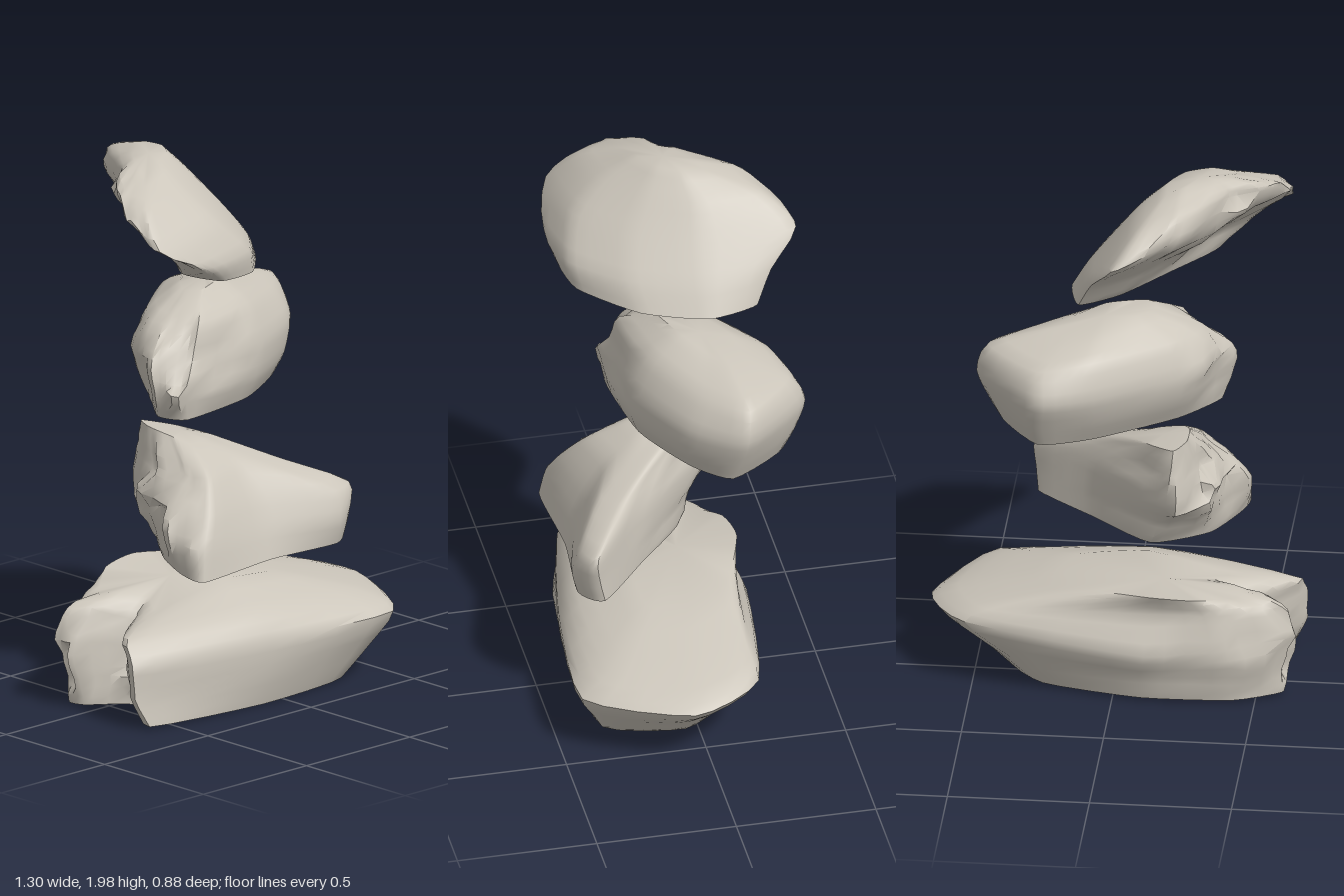
import * as THREE from 'three';
import { toCreasedNormals } from 'three/addons/utils/BufferGeometryUtils.js';

const AROUND = 40, UP = 12;
const material = new THREE.MeshStandardMaterial({ color: 0xccc6bb });

// Small repeatable noise in -1..1
const noise = (i, j) => {
  const s = Math.sin(i * 12.9898 + j * 78.233) * 43758.5453;
  return (s - Math.floor(s)) * 2 - 1;
};

// Skins a stone over a stack of loops, bottom to top. Each loop lists x, y, z
// triples running from the left side to the front, right and back.
// Points between loop positions chipFrom and chipTo are roughly broken.
function stone(name, loops, chipFrom, chipTo, chip) {
  const curves = loops.map((loop) => {
    const points = [];
    for (let i = 0; i < loop.length; i += 3) points.push(new THREE.Vector3(loop[i], loop[i + 1], loop[i + 2]));
    return new THREE.CatmullRomCurve3(points, true, 'catmullrom', 0.28);
  });
  const corners = loops[0].length / 3;
  const rows = Array.from({ length: UP + 1 }, () => []);
  for (let j = 0; j < AROUND; j++) {
    const rib = new THREE.CatmullRomCurve3(curves.map((c) => c.getPoint(j / AROUND)), false, 'catmullrom', 0.35);
    for (let i = 0; i <= UP; i++) rows[i].push(rib.getPoint(i / UP));
  }
  const centres = rows.map((row) => row.reduce((sum, p) => sum.add(p), new THREE.Vector3()).divideScalar(AROUND));

  // Broken side: push points in and out, less near the base and crown
  rows.forEach((row, i) => row.forEach((p, j) => {
    const t = ((j / AROUND) * corners - chipFrom) / (chipTo - chipFrom);
    if (t <= 0 || t >= 1) return;
    const weight = Math.sin(Math.PI * t) * Math.sin((Math.PI * i) / UP);
    const out = p.clone().sub(centres[i]).setY(0).normalize();
    p.addScaledVector(out, chip * weight * noise(i >> 1, j >> 1));
    p.y += chip * 0.4 * weight * noise(i + 7, j >> 1);
  }));

  const positions = [];
  rows.flat().forEach((p) => positions.push(p.x, p.y, p.z));
  const index = [];
  for (let i = 0; i < UP; i++) {
    for (let j = 0; j < AROUND; j++) {
      const k = (j + 1) % AROUND;
      const a = i * AROUND + j, b = i * AROUND + k;
      index.push(a, a + AROUND, b, b, a + AROUND, b + AROUND);
    }
  }
  // Nearly flat base and gently domed crown
  const base = positions.length / 3, crown = base + 1, last = UP * AROUND;
  positions.push(centres[0].x, centres[0].y - 0.01, centres[0].z);
  positions.push(centres[UP].x, centres[UP].y + 0.008, centres[UP].z);
  for (let j = 0; j < AROUND; j++) {
    const k = (j + 1) % AROUND;
    index.push(base, j, k, crown, last + k, last + j);
  }
  const geometry = new THREE.BufferGeometry();
  geometry.setAttribute('position', new THREE.Float32BufferAttribute(positions, 3));
  geometry.setIndex(index);
  const mesh = new THREE.Mesh(toCreasedNormals(geometry, 0.8), material);
  mesh.name = name;
  return mesh;
}

export function createModel() {
  const group = new THREE.Group();
  group.name = 'stackedStones';

  // Wide wedge with a sharp rim and a notch between two lobes
  group.add(stone('baseStone', [
    [.39, .02, .05, .31, .015, .33, -.1, .01, .36, -.6, .02, .31, -.45, .02, .08, -.58, .02, -.04, -.59, .02, -.11, -.42, .02, -.19, -.1, .02, -.2, .25, .02, -.12],
    [.51, .13, .07, .4, .13, .38, -.1, .12, .39, -.64, .12, .28, -.45, .12, .07, -.59, .12, -.04, -.6, .12, -.12, -.41, .12, -.21, -.1, .12, -.235, .36, .13, -.15],
    [.66, .26, .07, .46, .25, .435, -.1, .25, .4, -.65, .24, .27, -.45, .23, .05, -.59, .24, -.05, -.61, .25, -.12, -.4, .24, -.22, -.12, .22, -.28, .52, .28, -.185],
    [.5, .325, .05, .4, .315, .32, -.1, .34, .34, -.6, .32, .2, -.43, .31, .04, -.55, .36, -.05, -.57, .36, -.13, -.37, .36, -.21, -.12, .36, -.22, .38, .345, -.17],
    [.2, .4, 0, .15, .4, .14, -.1, .42, .15, -.38, .36, .12, -.34, .38, .03, -.43, .4, -.05, -.43, .39, -.12, -.3, .425, -.23, -.14, .44, -.25, .1, .42, -.16],
  ], 2.6, 8.2, 0.035));

  // Leaning pointed chunk
  group.add(stone('secondStone', [
    [.31, .55, .32, .22, .54, .4, -.08, .54, .38, -.42, .53, .4, -.42, .535, .28, -.32, .54, .08, -.12, .55, -.04, .1, .55, .14],
    [.32, .64, .34, .22, .63, .42, -.08, .64, .35, -.4, .64, .38, -.44, .65, .25, -.34, .65, .04, -.16, .66, -.1, .1, .64, .14],
    [.32, .74, .345, .22, .73, .39, -.08, .75, .3, -.34, .74, .34, -.39, .75, .22, -.32, .76, 0, -.19, .76, -.165, .08, .76, .13],
    [.13, .83, .22, .06, .82, .28, -.1, .86, .22, -.27, .85, .26, -.31, .85, .18, -.29, .86, -.02, -.2, .87, -.16, -.02, .87, .05],
    [-.05, .92, .05, -.08, .92, .09, -.14, .935, .1, -.22, .935, .12, -.25, .955, .05, -.25, .965, -.06, -.21, .965, -.14, -.12, .945, -.06],
  ], 3, 7.3, 0.035));

  // Rounded boulder
  group.add(stone('thirdStone', [
    [.4, 1.065, -.12, .28, 1.06, .01, .03, 1.055, .14, -.3, 1.055, .19, -.36, 1.06, .1, -.22, 1.06, -.07, .06, 1.06, -.26, .25, 1.065, -.33],
    [.44, 1.15, -.14, .32, 1.14, .03, .05, 1.14, .17, -.33, 1.15, .21, -.39, 1.17, .12, -.27, 1.15, -.09, .05, 1.15, -.31, .26, 1.15, -.37],
    [.48, 1.26, -.16, .35, 1.26, .025, .06, 1.26, .17, -.27, 1.26, .18, -.38, 1.27, .1, -.28, 1.26, -.11, .05, 1.26, -.35, .25, 1.26, -.41],
    [.44, 1.37, -.17, .31, 1.37, -.03, .06, 1.39, .11, -.21, 1.38, .15, -.3, 1.37, .06, -.23, 1.38, -.1, .06, 1.38, -.31, .25, 1.36, -.35],
    [.22, 1.43, -.14, .16, 1.44, -.08, .04, 1.465, 0, -.1, 1.46, .05, -.14, 1.455, 0, -.08, 1.46, -.08, .05, 1.44, -.18, .16, 1.425, -.2],
  ], 2, 5.5, 0.025));

  // Tilted slab with one smooth sloping face
  group.add(stone('topStone', [
    [.15, 1.58, -.09, .07, 1.585, .14, -.12, 1.59, .33, -.3, 1.6, .36, -.34, 1.6, .2, -.19, 1.6, 0, -.03, 1.6, -.2, .11, 1.59, -.27],
    [.09, 1.68, -.09, 0, 1.68, .17, -.16, 1.68, .35, -.4, 1.67, .39, -.44, 1.68, .28, -.28, 1.71, .02, -.11, 1.72, -.25, .06, 1.7, -.33],
    [0, 1.8, -.1, -.1, 1.8, .15, -.28, 1.8, .31, -.58, 1.76, .34, -.57, 1.82, .2, -.39, 1.85, -.05, -.21, 1.87, -.33, -.02, 1.81, -.435],
    [-.09, 1.91, -.1, -.18, 1.91, .08, -.33, 1.9, .2, -.54, 1.88, .23, -.57, 1.9, .13, -.41, 1.95, -.05, -.24, 1.95, -.26, -.1, 1.91, -.33],
    [-.19, 1.985, -.06, -.24, 1.985, .02, -.33, 1.98, .07, -.42, 1.95, .1, -.4, 1.97, .04, -.35, 1.985, -.04, -.24, 1.99, -.12, -.19, 1.98, -.14],
  ], 2.8, 6.8, 0.03));

  return group;
}
